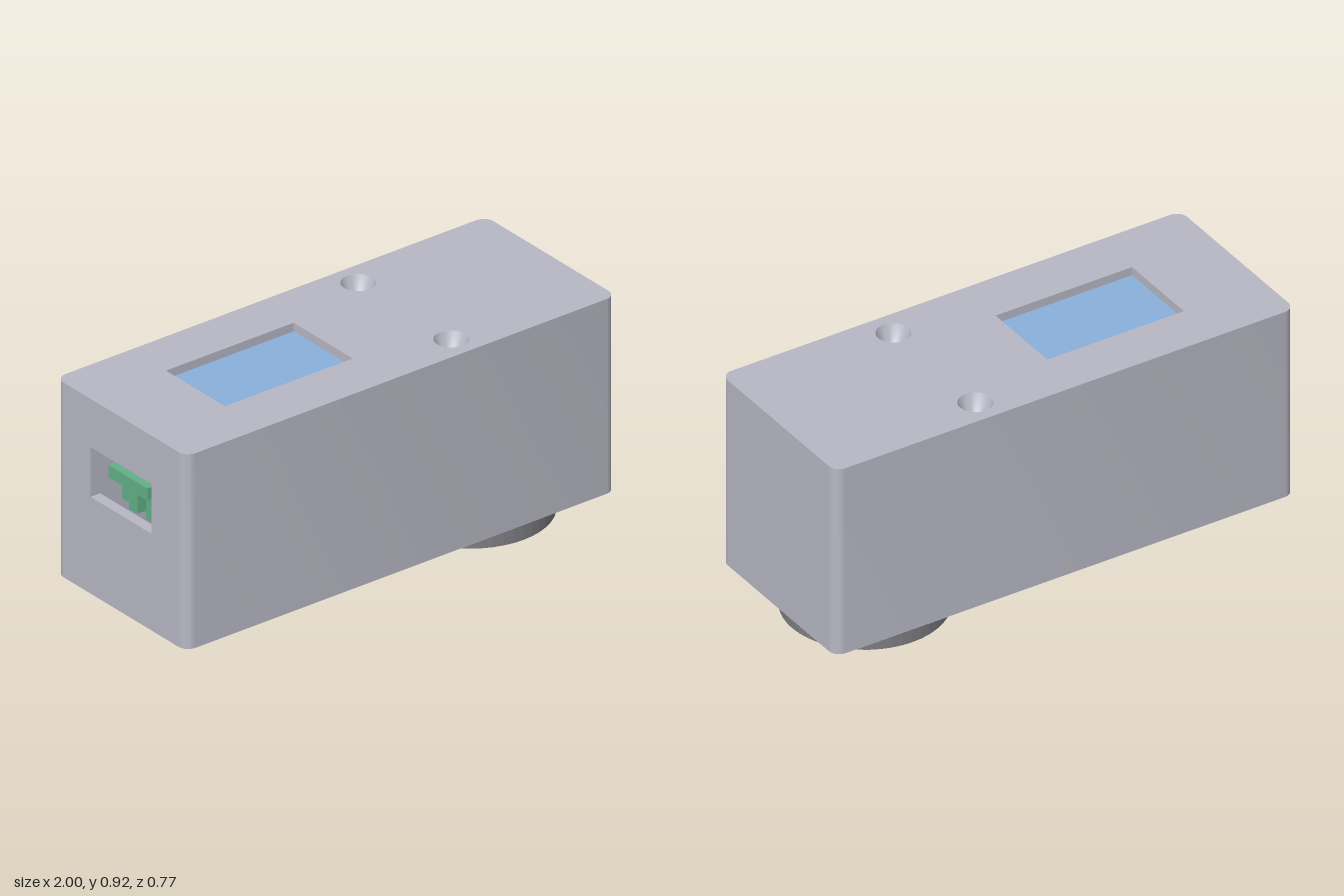
import * as THREE from 'three';
import { toCreasedNormals } from 'three/addons/utils/BufferGeometryUtils.js';

const BOTTOM = 0.108, TOP = 0.918, HX = 1, HZ = 0.385, R = 0.045, WALL = 0.045;
const WINDOW = { x0: -0.65, x1: -0.055, z0: -0.18, z1: 0.17 };
const PORT = { z0: -0.18, z1: 0.18, y0: 0.51, y1: 0.717 };
const SCREW = { x: 0.32, z: 0.275, r: 0.066 };
const LENS_X = 0.622, FLANGE_R = 0.35, TUBE_R = 0.318, BORE_R = 0.278;

function mat(name, color, double = false) {
  const m = new THREE.MeshStandardMaterial({ color });
  m.name = name;
  if (double) m.side = THREE.DoubleSide;
  return m;
}

function rect(C, x0, y0, x1, y1) {
  const s = new C();
  s.moveTo(x0, y0); s.lineTo(x1, y0); s.lineTo(x1, y1); s.lineTo(x0, y1); s.closePath();
  return s;
}

function circle(C, x, y, r) {
  const s = new C();
  s.absarc(x, y, r, 0, Math.PI * 2, false);
  return s;
}

// Rounded plan outline of the case
function outline() {
  const s = new THREE.Shape(), a = HX - R, b = HZ - R, q = Math.PI / 2;
  s.moveTo(-a, -HZ);
  s.absarc(a, -b, R, -q, 0, false);
  s.absarc(a, b, R, 0, q, false);
  s.absarc(-a, b, R, q, 2 * q, false);
  s.absarc(-a, -b, R, 2 * q, 3 * q, false);
  return s;
}

// Extrude a plan shape upward from y0 to y1 (shape y becomes -z)
function extrudeUp(shape, y0, y1, segments = 8) {
  const g = new THREE.ExtrudeGeometry(shape, { depth: y1 - y0, bevelEnabled: false, curveSegments: segments });
  return g.rotateX(-Math.PI / 2).translate(0, y0, 0);
}

export function createModel() {
  const model = new THREE.Group();
  model.name = 'instrumentCase';
  const body = mat('caseGrey', 0xb8b8c5, true);
  const dark = mat('darkGrey', 0x7e7e84);
  const blue = mat('displayBlue', 0x8ab0dc);
  const green = mat('boardGreen', 0x62b187);
  const tan = mat('sensorTan', 0xbd9f68);

  function add(name, geometry, material, parent = model) {
    const m = new THREE.Mesh(geometry, material);
    m.name = name;
    parent.add(m);
    return m;
  }
  function box(name, x0, x1, y0, y1, z0, z1, material, parent) {
    const m = add(name, new THREE.BoxGeometry(x1 - x0, y1 - y0, z1 - z0), material, parent);
    m.position.set((x0 + x1) / 2, (y0 + y1) / 2, (z0 + z1) / 2);
  }

  // Front, back and right walls with all four rounded corners
  const a = HX - R, b = HZ - R, q = Math.PI / 2;
  const walls = new THREE.Shape();
  walls.moveTo(-a, -HZ);
  walls.absarc(a, -b, R, -q, 0, false);
  walls.absarc(a, b, R, 0, q, false);
  walls.absarc(-a, b, R, q, 2 * q, false);
  walls.lineTo(-a, b);
  walls.lineTo(a, b);
  walls.lineTo(a, -b);
  walls.lineTo(-a, -b);
  walls.absarc(-a, -b, R, 2 * q, 3 * q, false);
  add('caseWalls', toCreasedNormals(extrudeUp(walls, BOTTOM + 0.0005, TOP - 0.0005), 0.5), body);

  // End wall with the connector opening
  const end = rect(THREE.Shape, -b, BOTTOM, b, TOP - 0.0005);
  end.holes.push(rect(THREE.Path, PORT.z0, PORT.y0, PORT.z1, PORT.y1));
  const endGeo = new THREE.ExtrudeGeometry(end, { depth: WALL, bevelEnabled: false });
  add('portWall', endGeo.rotateY(-Math.PI / 2).translate(-a, 0, 0), body);

  // Lid with display window and screw holes
  const lid = outline();
  lid.holes.push(rect(THREE.Path, WINDOW.x0, -WINDOW.z1, WINDOW.x1, -WINDOW.z0));
  for (const s of [-1, 1]) lid.holes.push(circle(THREE.Path, SCREW.x, s * SCREW.z, SCREW.r));
  add('lid', new THREE.ShapeGeometry(lid, 16).rotateX(-q).translate(0, TOP, 0), body);

  // Window recess and display
  const frame = rect(THREE.Shape, WINDOW.x0 - 0.03, -WINDOW.z1 - 0.03, WINDOW.x1 + 0.03, -WINDOW.z0 + 0.03);
  frame.holes.push(rect(THREE.Path, WINDOW.x0, -WINDOW.z1, WINDOW.x1, -WINDOW.z0));
  add('windowRecess', extrudeUp(frame, TOP - 0.045, TOP - 0.001), body);
  box('display', WINDOW.x0 - 0.02, WINDOW.x1 + 0.02, TOP - 0.06, TOP - 0.036,
    WINDOW.z0 - 0.02, WINDOW.z1 + 0.02, blue);

  // Countersunk screw holes
  const sink = [[0, 0.8], [0.03, 0.8], [0.03, 0.85], [0.041, 0.862], [SCREW.r, TOP]]
    .map(([r, y]) => new THREE.Vector2(r, y));
  for (const s of [-1, 1]) {
    const g = toCreasedNormals(new THREE.LatheGeometry(sink, 32), 0.5);
    add('screwHole', g, body).position.set(SCREW.x, 0, s * SCREW.z);
  }

  // Base with the round opening
  const base = outline();
  base.holes.push(circle(THREE.Path, LENS_X, 0, FLANGE_R));
  add('base', new THREE.ShapeGeometry(base, 24).rotateX(q).translate(0, BOTTOM, 0), body);

  // Round collar with its flush flange
  const collar = new THREE.Group();
  collar.name = 'sensorCollar';
  collar.position.x = LENS_X;
  model.add(collar);
  for (const [name, r, y0, y1] of [['collarTube', TUBE_R, 0, 0.13], ['collarFlange', FLANGE_R, BOTTOM, 0.15]]) {
    const s = circle(THREE.Shape, 0, 0, r);
    s.holes.push(circle(THREE.Path, 0, 0, BORE_R));
    add(name, extrudeUp(s, y0, y1, 24), dark, collar);
  }

  // Inner floor with square aperture, sensor plate and small pin
  const floor = circle(THREE.Shape, 0, 0, 0.3);
  floor.holes.push(rect(THREE.Path, -0.165, -0.175, 0.165, 0.175));
  add('sensorFloor', extrudeUp(floor, 0.13, 0.16, 24), body, collar);
  box('sensorPlate', -0.18, 0.18, 0.155, 0.175, -0.19, 0.19, tan, collar);
  const pin = add('sensorPin', new THREE.CylinderGeometry(0.024, 0.024, 0.02, 20), body, collar);
  pin.position.set(-0.15, 0.125, 0.165);

  // Circuit board and connector behind the port
  const board = new THREE.Group();
  board.name = 'connectorBoard';
  model.add(board);
  box('boardPlate', -0.79, -0.76, 0.4, 0.8, -0.26, 0.26, green, board);
  box('connector', -0.94, -0.79, 0.585, 0.635, -0.15, 0.08, green, board);
  for (const z of [-0.08, 0.02]) box('connectorLeg', -0.9, -0.79, 0.47, 0.585, z, z + 0.05, green, board);

  return model;
}
